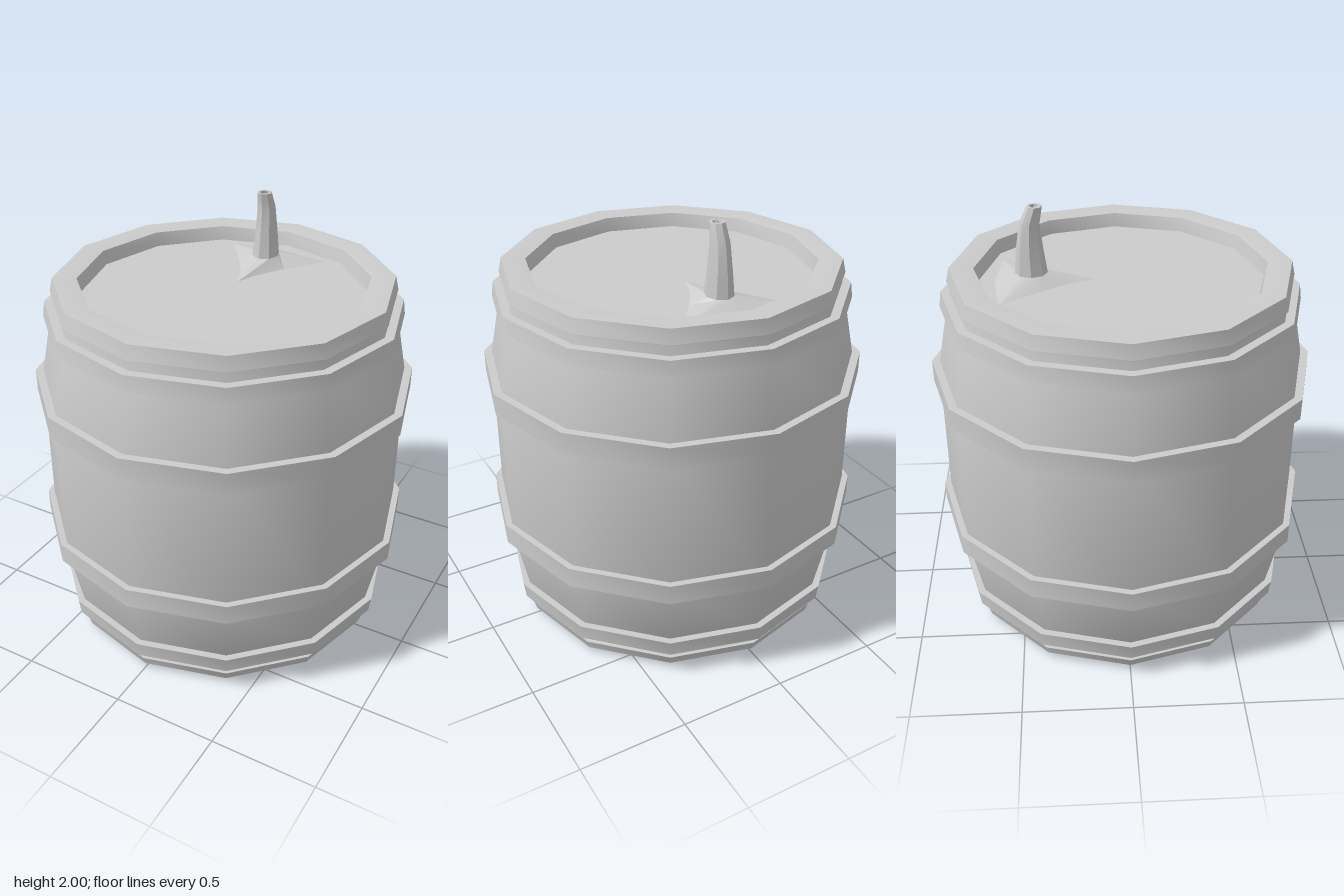
import * as THREE from 'three';
import { toCreasedNormals } from 'three/addons/utils/BufferGeometryUtils.js';

const SIDES = 12;
const CREASE = THREE.MathUtils.degToRad(35);
const material = new THREE.MeshStandardMaterial({ color: 0xcccccc });

function addMesh(group, name, geometry) {
  const mesh = new THREE.Mesh(toCreasedNormals(geometry, CREASE), material);
  mesh.name = name;
  group.add(mesh);
}

// Twelve-sided turned part from [radius, y] pairs, listed bottom to top on the outside
function turned(profile) {
  return new THREE.LatheGeometry(profile.map(([r, y]) => new THREE.Vector2(r, y)), SIDES);
}

// Skin over equal-length rings of points, closed by a fan on the last ring
function loft(rings) {
  const n = rings[0].length;
  const positions = rings.flat(2);
  const index = [];
  for (let i = 0; i < rings.length - 1; i++) {
    for (let j = 0; j < n; j++) {
      const a = i * n + j, b = i * n + (j + 1) % n;
      index.push(a, b, b + n, a, b + n, a + n);
    }
  }
  const last = (rings.length - 1) * n;
  for (let j = 1; j < n - 1; j++) index.push(last, last + j, last + j + 1);
  const geometry = new THREE.BufferGeometry();
  geometry.setAttribute('position', new THREE.Float32BufferAttribute(positions, 3));
  geometry.setIndex(index);
  geometry.computeVertexNormals();
  return geometry;
}

export function createModel() {
  const barrel = new THREE.Group();
  barrel.name = 'barrel';

  // Bulging staves with rims and recessed ends
  addMesh(barrel, 'body', turned([
    [0, 0.1], [0.65, 0.1], [0.68, 0], [0.7, 0.005], [0.765, 0.025], [0.78, 0.07],
    [0.765, 0.07], [0.75, 0.09], [0.79, 0.185], [0.855, 0.5],
    [0.855, 1.22], [0.79, 1.55], [0.765, 1.64], [0.765, 1.65],
    [0.785, 1.655], [0.77, 1.72], [0.71, 1.72], [0.66, 1.715], [0.645, 1.65], [0, 1.65],
  ]));

  // Hoops: [bottom y, top y, bottom radius, top radius]
  const hoops = [
    ['bottomHoop', 0.12, 0.195, 0.815, 0.825],
    ['lowerHoop', 0.47, 0.565, 0.885, 0.885],
    ['upperHoop', 1.155, 1.255, 0.885, 0.885],
    ['topHoop', 1.535, 1.605, 0.825, 0.815],
  ];
  for (const [name, y0, y1, r0, r1] of hoops) {
    addMesh(barrel, name, turned([[r0 - 0.08, y0], [r0, y0], [r1, y1], [r1 - 0.08, y1]]));
  }

  // Curved hollow spout rising from a flared foot on the lid
  const half = [[0, -0.12], [0.045, -0.24], [0.12, -0.36], [0.25, -0.54], [0, -0.57]];
  const outline = [...half, ...half.slice(1, 4).reverse().map(([x, z]) => [-x, z])];
  const foot = outline.map(([x, z]) => [x, 1.65, z]);
  const ring = (y, z, rx, rz) => outline.map((_, i) => {
    const a = (i / outline.length) * Math.PI * 2;
    return [Math.sin(a) * rx, y, z + Math.cos(a) * rz];
  });
  addMesh(barrel, 'spout', loft([
    foot,
    ring(1.69, -0.403, 0.063, 0.073),
    ring(1.8, -0.406, 0.052, 0.061),
    ring(1.92, -0.403, 0.043, 0.045),
    ring(2, -0.378, 0.035, 0.034),
    ring(2, -0.378, 0.022, 0.022),
    ring(1.96, -0.39, 0.02, 0.02),
  ]));

  return barrel;
}
